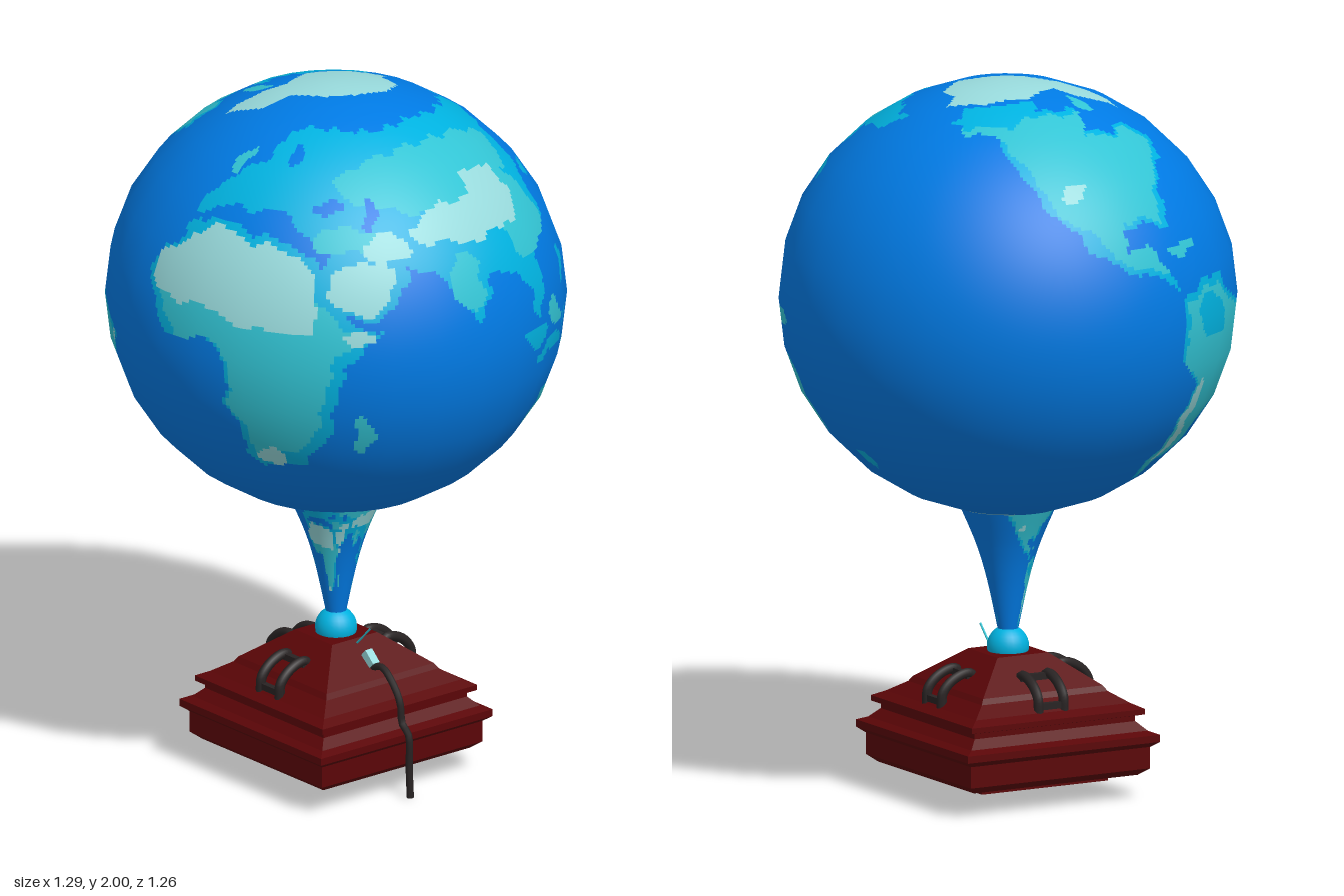
import * as THREE from 'three';

const mat = (name, color) => Object.assign(new THREE.MeshStandardMaterial({ color }), { name });
const ocean = mat('ocean blue', 0x007ae4);
const coast = mat('coast cyan', 0x00b2e0);
const land = mat('land teal', 0x32c4d4);
const desert = mat('desert pale teal', 0x98dadc);
const wood = mat('dark red', 0x5a0507);
const rubber = mat('dark grey', 0x282323);
const mapMaterials = [ocean, coast, land, desert];
const OCEAN = 0, COAST = 1, LAND = 2, DESERT = 3;

// Continent outlines: lon, lat pairs
const eurasia = [-9, 37, -9, 44, -3, 48, 9, 56, 7, 61, 14, 67, 25, 69, 60, 67, 100, 68, 130, 64, 165, 60, 155, 54, 138, 52,
  127, 36, 121, 27, 107, 19, 104, 2, 97, 17, 87, 21, 78, 8, 70, 24, 48, 30, 28, 38, 18, 42, 0, 40];
const africa = [-17, 21, -6, 36, 11, 36, 33, 31, 43, 12, 51, 11, 40, -4, 40, -16, 32, -29, 18, -34, 12, -18, 9, 4,
  -8, 4, -17, 13];
const sahara = [-16, 22, -7, 31, 2, 35, 12, 33, 30, 30, 36, 20, 33, 11, 20, 9, 4, 13, -15, 14];
const northAmerica = [-165, 61, -125, 68, -82, 67, -94, 58, -78, 56, -62, 58, -56, 51, -75, 38, -81, 26, -97, 28,
  -96, 19, -88, 20, -82, 9, -105, 20, -124, 40, -135, 58];
const southAmerica = [-78, 8, -62, 11, -50, 1, -35, -7, -40, -21, -54, -34, -66, -46, -70, -54, -74, -48, -71, -20, -81, -5];
const australia = [114, -23, 130, -12, 138, -16, 143, -11, 153, -27, 149, -38, 132, -32, 115, -34];
// Arctic areas: x, z pairs seen along the axis
const arcticIce = [-0.06, -0.23, -0.02, -0.18, 0.05, -0.18, 0.1, -0.1, 0.08, 0, 0.04, 0.07, -0.04, 0.12, -0.07, 0.21,
  -0.18, 0.25, -0.16, 0.12, -0.12, 0.07, -0.17, -0.03, -0.14, -0.15];
const arcticCoast = [-0.28, -0.15, -0.18, -0.25, -0.11, -0.21, -0.17, -0.13, -0.19, -0.03, -0.23, -0.04];

// Patches: lon, lat and the two half widths
const uplands = [[85, 50, 45, 10], [108, 32, 12, 12], [78, 20, 5, 8], [45, 33, 12, 5]];
const lowlands = [[-67, 0, 7, 6]];
const seas = [[36, 43, 5, 2], [51, 42, 2, 5], [20, 58, 3, 4]];
const lowIslands = [[47, 23, 13, 9], [101, -1, 5, 3], [111, -7, 8, 2], [121, -2, 2, 3], [123, 12, 2.5, 5],
  [137, 36, 5, 3], [173, -42, 3, 3.5]];
const highIslands = [[113, 1, 4, 4], [141, -5, 9, 3], [47, -19, 2.5, 6], [-3, 54, 3, 4], [-76, 20, 6, 1.5], [-72, 68, 6, 4]];
const deserts = [[47, 22, 9, 7], [55, 32, 7, 4], [88, 36, 24, 6], [100, 43, 10, 5], [22, -29, 4, 3.5],
  [46, 9, 4, 2], [-109, 38, 4, 3], [-68, -32, 2.5, 14], [-38, -8, 1.7, 1.7], [128, -24, 6, 3.5]];

function inside(r, x, y) {
  let hit = false;
  for (let i = 0, j = r.length - 2; i < r.length; j = i, i += 2) {
    if (r[i + 1] > y !== r[j + 1] > y &&
      x < r[i] + (r[j] - r[i]) * (y - r[i + 1]) / (r[j + 1] - r[i + 1])) hit = !hit;
  }
  return hit;
}

// An outline drawn in towards its centre
function inset(outline, scale) {
  const centre = k => outline.reduce((s, v, i) => (i % 2 === k ? s + v : s), 0) / (outline.length / 2);
  const c = [centre(0), centre(1)];
  return outline.map((v, i) => c[i % 2] + (v - c[i % 2]) * scale);
}

const area = (colour, outline) => ({ colour, has: (x, y) => inside(outline, x, y) });
const patches = (colour, list) => list.map(([cx, cy, w, h]) =>
  ({ colour, has: (x, y) => ((x - cx) / w) ** 2 + ((y - cy) / h) ** 2 < 1 }));

// Later layers are painted over earlier ones
const layers = [
  area(COAST, eurasia),
  ...[[africa, 0.87], [northAmerica, 0.9], [southAmerica, 0.92], [australia, 0.97]]
    .flatMap(([outline, scale]) => [area(COAST, outline), area(LAND, inset(outline, scale))]),
  ...patches(LAND, uplands), ...patches(COAST, lowlands), ...patches(OCEAN, seas), ...patches(COAST, lowIslands),
  ...patches(LAND, highIslands), area(DESERT, sahara), ...patches(DESERT, deserts),
];

const RAD = Math.PI / 180, RX = 0.643, RY = 0.605, RZ = 0.628;

// Colour index at an angle around the globe (0 = front) and a latitude
function mapColour(angle, lat) {
  if (lat < -74 + 3 * Math.cos((angle - 75) * RAD) + 0.7 * Math.sin(5 * angle * RAD)) return DESERT;
  if (lat > 45) {
    const k = Math.cos(lat * RAD);
    const x = RX * k * Math.sin(angle * RAD), z = RZ * k * Math.cos(angle * RAD);
    if (inside(arcticIce, x, z)) return DESERT;
    if (inside(arcticCoast, x, z)) return COAST;
  }
  // a small wobble gives irregular shorelines
  const y = lat + 0.9 * Math.sin(angle * 0.35) + 0.5 * Math.sin(angle * 0.7 + lat * 0.3);
  const x = ((angle - 10 + 540) % 360) - 180 + 1.0 * Math.sin(lat * 0.4) + 0.6 * Math.sin(lat * 0.8 + angle * 0.25);
  return layers.reduce((c, layer) => (layer.has(x, y) ? layer.colour : c), OCEAN);
}

// Grid surface whose cells are sorted into material groups by colour
function paintedSurface(nu, nv, point, normal, colour) {
  const pos = [], nor = [], lists = mapMaterials.map(() => []);
  for (let j = 0; j <= nv; j++) for (let i = 0; i <= nu; i++) {
    pos.push(...point(i / nu, j / nv));
    nor.push(...normal(i / nu, j / nv).normalize().toArray());
  }
  for (let j = 0; j < nv; j++) for (let i = 0; i < nu; i++) {
    const a = j * (nu + 1) + i, d = a + nu + 1;
    lists[colour((i + 0.5) / nu, (j + 0.5) / nv)].push(a, a + 1, d, d + 1, d, a + 1);
  }
  const g = new THREE.BufferGeometry();
  g.setAttribute('position', new THREE.Float32BufferAttribute(pos, 3));
  g.setAttribute('normal', new THREE.Float32BufferAttribute(nor, 3));
  g.setIndex(lists.flat());
  let start = 0;
  lists.forEach((l, k) => { g.addGroup(start, l.length, k); start += l.length; });
  return new THREE.Mesh(g, mapMaterials);
}

function makeGlobe() {
  const NU = 28, NV = 14, SUB = 12;
  const dir = (u, v) => {
    const a = u * 2 * Math.PI, b = (v - 0.5) * Math.PI;
    return new THREE.Vector3(Math.sin(a) * Math.cos(b), Math.sin(b), Math.cos(a) * Math.cos(b));
  };
  // points lie on the flat facets of a coarse ball
  const point = (u, v) => {
    const i = Math.min(Math.floor(u * NU + 1e-6), NU - 1), j = Math.min(Math.floor(v * NV + 1e-6), NV - 1);
    const edge = row => dir(i / NU, row / NV).lerp(dir((i + 1) / NU, row / NV), u * NU - i);
    const p = edge(j).lerp(edge(j + 1), v * NV - j);
    return [p.x * RX, 1.395 + p.y * RY, p.z * RZ];
  };
  const normal = (u, v) => dir(u, v).divide(new THREE.Vector3(RX, RY, RZ));
  return paintedSurface(NU * SUB, NV * SUB, point, normal, (u, v) => mapColour(u * 360, v * 180 - 90));
}

// Flared stem, painted with the same map
function makeStem() {
  const curve = new THREE.SplineCurve([[0.027, 0.455], [0.058, 0.6], [0.088, 0.7], [0.13, 0.8], [0.145, 0.83]]
    .map(p => new THREE.Vector2(...p)));
  const point = (u, v) => {
    const p = curve.getPoint(v), a = u * 2 * Math.PI;
    return [p.x * Math.sin(a), p.y, p.x * Math.cos(a)];
  };
  const normal = (u, v) => {
    const t = curve.getTangent(v), a = u * 2 * Math.PI;
    return new THREE.Vector3(t.y * Math.sin(a), -t.x, t.y * Math.cos(a));
  };
  return paintedSurface(72, 50, point, normal,
    (u, v) => mapColour(u * 360, 50 - (0.8 - curve.getPoint(v).y) * 300));
}

export function createModel() {
  const model = new THREE.Group();
  const add = (name, object, parent = model) => { object.name = name; parent.add(object); return object; };
  const tube = (pts, r, m) => new THREE.Mesh(new THREE.TubeGeometry(
    new THREE.CatmullRomCurve3(pts.map(p => new THREE.Vector3(...p))), 24, r, 8), m);

  add('globe', makeGlobe());
  add('stem', makeStem());
  const ball = add('ball', new THREE.Mesh(new THREE.SphereGeometry(0.058, 24, 16), coast));
  ball.position.y = 0.413;

  // Square stepped base: half width and height
  const profile = [[0, 0.05], [0.2, 0.05], [0.2, 0.065], [0.26, 0.07], [0.285, 0.09], [0.285, 0.15], [0.305, 0.165],
    [0.305, 0.185], [0.28, 0.195], [0.255, 0.22], [0.255, 0.235], [0.275, 0.24], [0.275, 0.255],
    [0.245, 0.27], [0.2, 0.3], [0.19, 0.315], [0.08, 0.4], [0, 0.4]];
  const baseGeometry = new THREE.LatheGeometry(
    profile.map(([w, y]) => new THREE.Vector2(w * Math.SQRT2, y)), 4, Math.PI / 4).toNonIndexed();
  baseGeometry.computeVertexNormals();
  add('base', new THREE.Mesh(baseGeometry, wood));

  // Arched handles on the front, right and back
  for (const turn of [0, -Math.PI / 2, Math.PI]) {
    const handle = add('handle', new THREE.Group());
    for (const x of [-0.04, 0.04])
      add('handleArch', tube([[x, 0.33, 0.12], [x, 0.358, 0.145], [x, 0.345, 0.195], [x, 0.31, 0.23], [x, 0.265, 0.235]],
        0.014, rubber), handle);
    for (const [y, z] of [[0.352, 0.15], [0.285, 0.232]]) {
      const bar = add('handleBar', new THREE.Mesh(new THREE.BoxGeometry(0.1, 0.018, 0.018), rubber), handle);
      bar.position.set(0, y, z);
    }
    handle.rotation.y = turn;
  }

  // Cord with plug and thin wire on the left side
  add('cord', tube([[0.16, 0.34, 0], [0.2, 0.35, 0], [0.245, 0.315, 0], [0.275, 0.27, 0], [0.285, 0.21, 0],
    [0.312, 0.185, 0], [0.315, 0.09, 0], [0.32, 0.004, 0]], 0.01, rubber));
  const plug = add('plug', new THREE.Mesh(new THREE.BoxGeometry(0.045, 0.03, 0.024), desert));
  plug.position.set(0.147, 0.36, 0);
  plug.rotation.z = -0.75;
  add('wire', tube([[0.085, 0.385, 0], [0.115, 0.415, 0], [0.15, 0.45, 0]], 0.003, land));
  return model;
}
